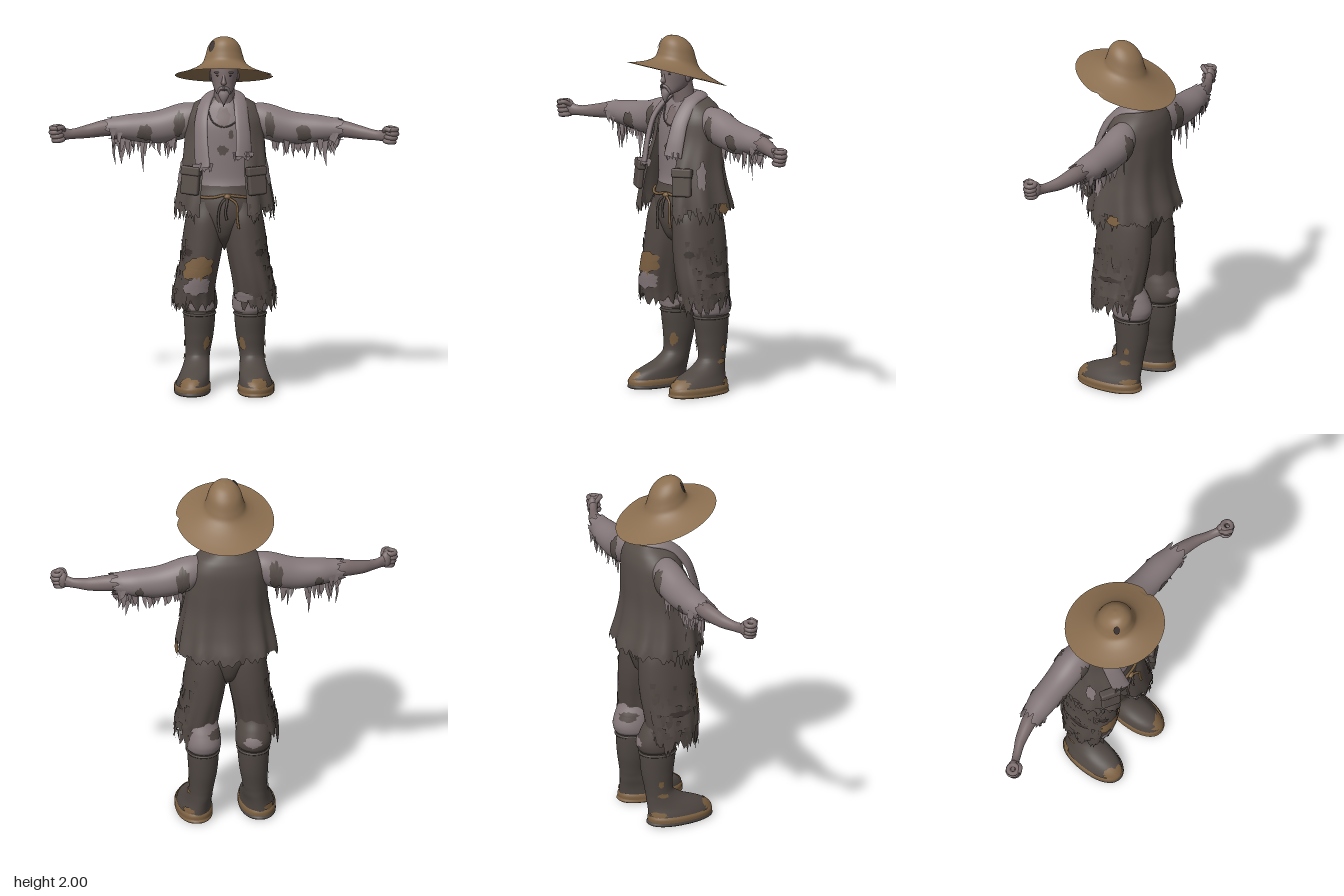
import * as THREE from 'three';
import { mergeVertices, mergeGeometries } from 'three/addons/utils/BufferGeometryUtils.js';
import { RoundedBoxGeometry } from 'three/addons/geometries/RoundedBoxGeometry.js';

const V = (x, y, z) => new THREE.Vector3(x, y, z);

export function createModel() {
  const root = new THREE.Group();
  let seed = 7;
  const rnd = () => (seed = (seed * 16807) % 2147483647) / 2147483647;
  const mat = (name, color) => {
    const m = new THREE.MeshStandardMaterial({ color, side: THREE.DoubleSide });
    m.name = name;
    return m;
  };
  const skin = mat('skin', 0x7b6c6d), linen = mat('linen', 0x85787a), vestCloth = mat('vest cloth', 0x574e49);
  const trouserCloth = mat('trouser cloth', 0x514843), rubber = mat('boot rubber', 0x4f4742);
  const straw = mat('straw', 0x8c6f50), mud = mat('mud', 0x7d6142), dark = mat('dark tear', 0x3a322f);

  const add = (name, geo, m, x = 0, y = 0, z = 0) => {
    const mesh = new THREE.Mesh(geo, m);
    mesh.name = name;
    mesh.position.set(x, y, z);
    root.add(mesh);
    return mesh;
  };
  const build = (pos, idx) => {
    const g = new THREE.BufferGeometry();
    g.setAttribute('position', new THREE.Float32BufferAttribute(pos, 3));
    g.setIndex(idx);
    g.computeVertexNormals();
    return g;
  };

  // Surface through elliptical rings [t, centre1, centre2, radius1, radius2] along y or x; u = 0 faces +z
  const surface = (rings, axis = 'y', sq = 1) => {
    const t0 = rings[0][0], t1 = rings[rings.length - 1][0], up = Math.sign(t1 - t0);
    const at = (u, t, grow = 0) => {
      let i = 0;
      while (i < rings.length - 2 && (t - rings[i + 1][0]) * up > 0) i++;
      const P = [i - 1, i, i + 1, i + 2].map(k => rings[Math.min(Math.max(k, 0), rings.length - 1)]);
      const f = Math.min(1, Math.max(0, (t - P[1][0]) / (P[2][0] - P[1][0])));
      const c = k => {
        const [a, b, d, e] = P.map(r => r[k]);
        return b + 0.5 * f * (d - a + f * (2 * a - 5 * b + 4 * d - e + f * (3 * (b - d) + e - a)));
      };
      const pw = v => Math.sign(v) * Math.abs(v) ** sq;
      const p = c(1) + (Math.max(0, c(3)) + grow) * pw(Math.sin(u * 2 * Math.PI));
      const q = c(2) + (Math.max(0, c(4)) + grow) * pw(Math.cos(u * 2 * Math.PI));
      return axis === 'y' ? V(p, t, q) : V(t, p, q);
    };
    return { at, t0, t1, axis, flip: (axis === 'y') !== (up > 0) };
  };
  // Mesh of a surface, with an optional open slit, folds growing downward and a torn last row
  const loft = (S, { u0 = 0, u1 = 1, seg = 40, rows = 24, jag = 0, lift = 0, fold = 0 } = {}) => {
    const closed = u1 - u0 >= 1, n = closed ? seg : seg + 1, pos = [], idx = [];
    for (let j = 0; j <= rows; j++) for (let i = 0; i < n; i++) {
      const u = u0 + (u1 - u0) * i / seg;
      const p = S.at(u, S.t0 + (S.t1 - S.t0) * j / rows, fold * (j / rows) ** 2 * Math.cos(u * 20 * Math.PI));
      if (j > rows - 4) p.y += lift * (1 - Math.cos(u * 2 * Math.PI)) / 2 * (j - rows + 4) / 4;
      if (j === rows) p[S.axis] += jag * (rnd() - 0.6) * Math.sign(S.t0 - S.t1);
      pos.push(p.x, p.y, p.z);
    }
    for (let j = 0; j < rows; j++) for (let i = 0; i < seg; i++) {
      const a = j * n + i, b = j * n + (i + 1) % n, c = a + n, d = b + n;
      S.flip ? idx.push(a, c, b, b, c, d) : idx.push(a, b, c, b, d, c);
    }
    return build(pos, idx);
  };
  // Thin irregular blot lying just above a surface
  const patch = (name, S, uc, tc, du, dt, m, grow = 0.006) => {
    const pos = [], idx = [], n = 24, rows = 5, wob = Array.from({ length: n }, () => 0.75 + 0.4 * rnd());
    for (let j = 0; j <= rows; j++) for (let i = 0; i < n; i++) {
      const a = i / n * 2 * Math.PI, r = j / rows * wob[i];
      pos.push(...S.at(uc + du * r * Math.cos(a), tc + dt * r * Math.sin(a), grow).toArray());
    }
    for (let j = 0; j < rows; j++) for (let i = 0; i < n; i++) {
      const a = j * n + i, b = j * n + (i + 1) % n;
      S.axis === 'y' ? idx.push(a, a + n, b, b, a + n, b + n) : idx.push(a, b, a + n, b, b + n, a + n);
    }
    add(name, build(pos, idx), m);
  };
  // Hanging torn strips scattered over part of a surface
  const shreds = (name, S, u0, u1, t0, t1, n, len, m) => {
    const pos = [], idx = [];
    for (let i = 0; i < n; i++) {
      const u = u0 + (u1 - u0) * rnd(), t = t0 + (t1 - t0) * rnd(), p = S.at(u, t, 0.004);
      const w = S.axis === 'y' ? S.at(u + 0.01, t).sub(S.at(u - 0.01, t)).normalize() : V(1, 0, rnd() - 0.5);
      w.multiplyScalar(0.01 + 0.012 * rnd());
      const l = len * (0.3 + 0.7 * rnd()), o = p.clone().setY(p.y + 0.015), k = pos.length / 3;
      const mid = p.clone().add(V(0.01 * (rnd() - 0.5), -l * 0.5, 0)), tip = mid.clone().add(V(0.02 * (rnd() - 0.5), -l * 0.5, 0));
      for (const q of [o.clone().sub(w), o.clone().add(w), mid.clone().addScaledVector(w, -0.6), mid.clone().addScaledVector(w, 0.5), tip])
        pos.push(q.x, q.y, q.z);
      idx.push(k, k + 2, k + 1, k + 1, k + 2, k + 3, k + 2, k + 4, k + 3);
    }
    add(name, build(pos, idx), m);
  };
  const tube = (name, pts, r, m, closed = false) =>
    add(name, new THREE.TubeGeometry(new THREE.CatmullRomCurve3(pts, closed), closed ? 64 : 20, r, 7, closed), m);
  const ball = (name, x, y, z, sx, sy, sz, m) => add(name, new THREE.SphereGeometry(1, 18, 12).scale(sx, sy, sz), m, x, y, z);

  // Straw hat: tilted back, small notch torn in the brim
  const prof = new THREE.SplineCurve([[0, 2], [0.05, 1.987], [0.086, 1.948], [0.104, 1.89], [0.12, 1.85], [0.16, 1.82],
    [0.22, 1.795], [0.272, 1.78]].map(p => new THREE.Vector2(...p))).getPoints(36);
  prof[0].x = 0;
  let hat = new THREE.LatheGeometry(prof, 72);
  hat.deleteAttribute('uv');
  hat.deleteAttribute('normal');
  hat = mergeVertices(hat);
  const hp = hat.attributes.position;
  for (let i = 0; i < hp.count; i++) {
    const x = hp.getX(i), z = hp.getZ(i), r = Math.hypot(x, z);
    const notch = r > 0.25 ? 1 - 0.07 * Math.exp(-(((Math.atan2(x, z) - 1.5) / 0.08) ** 2)) : 1;
    hp.setXYZ(i, x * notch, hp.getY(i) + z * 0.33, z * 1.03 * notch);
  }
  hat.computeVertexNormals();
  add('straw hat', hat, straw, 0, 0, 0.01);
  const hole = add('hat hole', new THREE.CircleGeometry(1, 16).scale(0.018, 0.032, 1), dark, -0.066, 1.957, 0.079);
  hole.lookAt(-0.17, 2.03, 0.2);

  // Head
  const headS = surface([[1.67, 0, 0.078, 0.012, 0.015], [1.688, 0, 0.065, 0.04, 0.046], [1.715, 0, 0.03, 0.057, 0.08],
    [1.75, 0, 0.01, 0.068, 0.098], [1.79, 0, 0.007, 0.075, 0.101], [1.83, 0, 0.014, 0.076, 0.092], [1.865, 0, 0.02, 0.068, 0.076], [1.9, 0, 0.02, 0, 0]]);
  add('head', loft(headS), skin);
  patch('back hair', headS, 0.5, 1.76, 0.13, 0.05, dark, 0.004);
  add('neck', loft(surface([[1.56, 0, -0.06, 0.085, 0.08], [1.62, 0, -0.045, 0.062, 0.064], [1.7, 0, -0.03, 0.056, 0.062], [1.76, 0, -0.02, 0.055, 0.06]])), skin);
  add('nose', loft(surface([[1.738, 0, 0.1, 0.004, 0.005], [1.75, 0, 0.106, 0.015, 0.022], [1.775, 0, 0.1, 0.01, 0.02], [1.81, 0, 0.092, 0.008, 0.012]]), { seg: 14, rows: 10 }), skin);
  ball('mouth', 0, 1.714, 0.106, 0.018, 0.003, 0.005, dark);
  add('beard', loft(surface([[1.71, 0, 0.085, 0.03, 0.026], [1.69, 0, 0.09, 0.032, 0.025], [1.665, 0, 0.095, 0.021, 0.018], [1.63, 0, 0.097, 0.004, 0.004]]), { seg: 18, rows: 12, jag: 0.02 }), linen);
  for (const s of [-1, 1]) {
    ball('eye', s * 0.031, 1.795, 0.094, 0.012, 0.005, 0.006, dark);
    ball('brow', s * 0.032, 1.813, 0.091, 0.023, 0.006, 0.012, skin).rotation.z = s * -0.12;
    ball('ear', s * 0.076, 1.775, -0.005, 0.008, 0.03, 0.018, skin);
    tube('moustache', [V(0, 1.729, 0.113), V(s * 0.02, 1.724, 0.106), V(s * 0.034, 1.695, 0.09)], 0.008, linen);
  }

  // Shirt body
  const shirtS = surface([[1.655, 0, -0.07, 0.075, 0.075], [1.6, 0, -0.075, 0.15, 0.105], [1.5, 0, -0.07, 0.195, 0.13],
    [1.35, 0, -0.065, 0.2, 0.13], [1.2, 0, -0.06, 0.19, 0.125], [1.13, 0, -0.06, 0.19, 0.142]]);
  add('shirt', loft(shirtS, { seg: 56, jag: 0.05 }), linen);
  patch('open collar', shirtS, 0, 1.55, 0.035, 0.06, skin);
  patch('shirt tear', shirtS, -0.005, 1.37, 0.025, 0.028, vestCloth);
  patch('shirt tear', shirtS, 0.03, 1.46, 0.012, 0.025, vestCloth);
  tube('cord necklace', [-2, -1, 0, 1, 2].map(k => shirtS.at(k * 0.05, 1.5 + k * k * 0.024, 0.006)), 0.004, vestCloth);

  // Vest with open front, folds, torn hem, side gaps and pockets
  const vestS = surface([[1.655, 0, -0.08, 0.085, 0.085], [1.61, 0, -0.085, 0.165, 0.115], [1.54, 0, -0.08, 0.212, 0.142], [1.42, 0, -0.07, 0.222, 0.155],
    [1.28, 0, -0.045, 0.235, 0.18], [1.15, 0, -0.04, 0.258, 0.205], [1.03, 0, -0.048, 0.275, 0.228]], 'y', 0.85);
  add('vest', loft(vestS, { u0: 0.07, u1: 0.93, seg: 110, rows: 26, jag: 0.045, fold: 0.012 }), vestCloth);
  shreds('vest fringe', vestS, 0.08, 0.27, 1.02, 1.07, 18, 0.09, vestCloth);
  shreds('vest fringe', vestS, 0.73, 0.92, 1.02, 1.07, 18, 0.09, vestCloth);
  patch('mud stain', vestS, 0.27, 1.055, 0.022, 0.03, mud, 0.015);
  for (const s of [-1, 1]) {
    patch('vest side gap', vestS, s * 0.195, 1.245, 0.025, 0.075, linen, 0.012);
    const pocket = new THREE.Group();
    pocket.name = 'pocket';
    const bag = new THREE.Mesh(new RoundedBoxGeometry(0.11, 0.155, 0.036, 2, 0.012), vestCloth);
    bag.name = 'pocket bag';
    const flap = new THREE.Mesh(new RoundedBoxGeometry(0.116, 0.05, 0.046, 2, 0.01), vestCloth);
    flap.name = 'pocket flap';
    flap.position.y = 0.055;
    pocket.add(bag, flap);
    pocket.position.set(s * 0.183, 1.21, 0.13);
    pocket.rotation.set(-0.12, s * 0.5, s * 0.08);
    root.add(pocket);
  }

  // Towel draped round the neck: flat section swept along a curve
  const path = new THREE.CatmullRomCurve3([V(-0.115, 1.285, 0.15), V(-0.125, 1.42, 0.115), V(-0.125, 1.54, 0.068), V(-0.1, 1.635, -0.02), V(-0.062, 1.66, -0.11),
    V(0, 1.655, -0.145), V(0.062, 1.66, -0.11), V(0.085, 1.635, -0.02), V(0.1, 1.54, 0.068), V(0.11, 1.44, 0.11), V(0.11, 1.345, 0.135)]);
  const tp = [], ti = [], tn = 14, tr = 60;
  for (let j = 0; j <= tr; j++) {
    const p = path.getPoint(j / tr), T = path.getTangent(j / tr), N = p.clone().sub(V(0, 1.42, -0.06)).normalize();
    const W = T.clone().cross(N).normalize(), half = 0.034 + 0.018 * Math.abs(j / tr - 0.5) * 2;
    N.crossVectors(W, T);
    for (let i = 0; i < tn; i++) {
      const a = i / tn * 2 * Math.PI;
      tp.push(...p.clone().addScaledVector(W, half * Math.cos(a)).addScaledVector(N, 0.016 * Math.sin(a)).toArray());
    }
    if (j < tr) for (let i = 0; i < tn; i++) {
      const a = j * tn + i, b = j * tn + (i + 1) % tn;
      ti.push(a, b, a + tn, b, b + tn, a + tn);
    }
  }
  add('towel', build(tp, ti), linen);
  for (const [x, y, z] of [[-0.115, 1.29, 0.15], [0.11, 1.35, 0.135]])
    shreds('towel fringe', surface([[y + 0.02, x, z, 0.042, 0.006], [y - 0.02, x, z, 0.042, 0.006]]), 0, 1, y, y + 0.01, 9, 0.04, linen);

  // Trouser seat and rope belt
  const seatS = surface([[1.17, 0, -0.05, 0.18, 0.13], [1.08, 0, -0.05, 0.2, 0.153], [1.0, 0, -0.05, 0.185, 0.158], [0.93, 0, -0.05, 0.12, 0.146], [0.86, 0, -0.05, 0.06, 0.11], [0.785, 0, -0.05, 0, 0]]);
  add('trouser seat', loft(seatS), trouserCloth);
  tube('rope belt', Array.from({ length: 24 }, (_, i) => seatS.at(i / 24, 1.115 + 0.008 * Math.cos(i), 0.008)), 0.008, mud, true);
  for (const [x, y, m] of [[-0.03, 0.92, trouserCloth], [0.01, 0.99, trouserCloth], [0.075, 0.94, mud]])
    tube('rope end', [V(0.02, 1.115, 0.11), V(x * 0.8 + 0.01, 1.08, 0.125), V(x, (1.07 + y) / 2, 0.128), V(x + 0.008, y, 0.13)], 0.007, m);
  ball('rope knot', 0.02, 1.115, 0.11, 0.02, 0.015, 0.014, mud);

  for (const s of [-1, 1]) {
    const Y = (rings, sq) => surface(rings.map(([t, x, ...r]) => [t, s * x, ...r]), 'y', sq);
    const X = rings => surface(rings.map(([t, ...r]) => [s * t, ...r]), 'x');
    const out = s > 0 ? 0.25 : 0.75;

    // Arm: ragged sleeve, bare forearm, fist curled round a vertical grip
    const sleeveS = X([[0.13, 1.535, -0.085, 0.07, 0.07], [0.23, 1.505, -0.092, 0.1, 0.088], [0.38, 1.47, -0.09, 0.09, 0.082], [0.53, 1.468, -0.085, 0.073, 0.076], [0.63, 1.467, -0.075, 0.06, 0.06]]);
    add('sleeve', loft(sleeveS, { jag: 0.06 }), linen);
    shreds('sleeve fringe', sleeveS, 0.62, 0.88, s * 0.27, s * 0.63, 24, 0.11, linen);
    shreds('long sleeve fringe', sleeveS, 0.7, 0.8, s * 0.45, s * 0.62, 5, 0.17, linen);
    shreds('cuff fringe', sleeveS, 0.5, 1, s * 0.57, s * 0.63, 14, 0.06, linen);
    patch('sleeve tear', sleeveS, 0.97, s * 0.44, 0.09, 0.045, vestCloth);
    patch('armhole tear', sleeveS, 0, s * 0.25, 0.12, 0.03, vestCloth);
    patch('armhole tear', sleeveS, 0.5, s * 0.26, 0.14, 0.04, vestCloth);
    patch('sleeve tear', sleeveS, 0.55, s * 0.5, 0.06, 0.025, vestCloth);
    add('forearm', loft(X([[0.5, 1.475, -0.085, 0.045, 0.045], [0.66, 1.468, -0.067, 0.046, 0.042], [0.77, 1.452, -0.035, 0.036, 0.032], [0.85, 1.446, 0.005, 0.028, 0.026], [0.9, 1.452, 0.03, 0.038, 0.026]])), skin);
    ball('palm', s * 0.902, 1.455, 0.028, 0.03, 0.048, 0.028, skin);
    const fingers = [0, 1, 2, 3].map(i => new THREE.TorusGeometry(0.026, 0.0135, 8, 18).rotateX(Math.PI / 2).translate(s * (0.004 - 0.005 * Math.abs(i - 2)), 0.0235 * (i - 1.5), 0));
    add('fingers', mergeGeometries(fingers), skin, s * 0.925, 1.455, 0.047).rotation.z = s * -0.12;
    tube('thumb', [V(s * 0.885, 1.475, 0.035), V(s * 0.895, 1.495, 0.07), V(s * 0.925, 1.488, 0.088)], 0.0135, skin);

    // Trouser leg, torn at the hem and along the outside
    const legS = Y([[1.08, 0.095, -0.05, 0.095, 0.13], [0.98, 0.105, -0.05, 0.108, 0.155], [0.86, 0.117, -0.05, 0.115, 0.162], [0.75, 0.132, -0.047, 0.112, 0.162],
      [0.65, 0.153, -0.042, 0.113, 0.156], [0.56, 0.168, -0.042, 0.116, 0.146], [0.51, 0.17, -0.046, 0.116, 0.14]], 0.9);
    add('trouser leg', loft(legS, { seg: 56, jag: 0.07, lift: s > 0 ? 0.06 : 0.01, fold: 0.005 }), trouserCloth);
    shreds('trouser fringe', legS, out - 0.16, out + 0.16, 0.52, 0.88, 40, 0.1, trouserCloth);
    shreds('hem fringe', legS, out - 0.28, out + 0.2, 0.52, 0.57, 20, 0.1, trouserCloth);
    patch('trouser tear', legS, s * 0.1, 0.8, 0.04, 0.02, dark);
    patch('trouser tear', legS, out, 0.68, 0.07, 0.015, dark);

    // Rolled under cuff; the right one is mostly covered by dark rags
    const cuffS = Y([[0.62, 0.15, -0.08, 0.088, 0.11], [0.55, 0.145, -0.105, 0.096, 0.114], [0.49, 0.141, -0.12, 0.1, 0.117], [0.45, 0.14, -0.12, 0.096, 0.11], [0.435, 0.14, -0.118, 0.082, 0.1]]);
    add('under cuff', loft(cuffS), s > 0 ? linen : trouserCloth);
    if (s < 0) {
      patch('cuff linen', cuffS, 0.03, 0.475, 0.13, 0.03, linen, 0.004);
      patch('cuff linen', cuffS, 0.47, 0.5, 0.08, 0.03, linen, 0.004);
      patch('knee hole', legS, 0.02, 0.61, 0.1, 0.05, linen, 0.008);
      patch('knee patch', legS, 0, 0.71, 0.11, 0.066, mud, 0.008);
    } else {
      patch('shin hole', legS, -0.09, 0.55, 0.08, 0.03, linen, 0.009);
      patch('cuff rag', cuffS, 0.62, 0.55, 0.09, 0.03, trouserCloth, 0.004);
    }

    // Rubber boot with muddy welt
    const bootS = Y([[0.445, 0.14, -0.117, 0.086, 0.102], [0.41, 0.14, -0.117, 0.087, 0.103], [0.3, 0.142, -0.12, 0.079, 0.092], [0.19, 0.15, -0.112, 0.068, 0.082], [0.14, 0.156, -0.075, 0.073, 0.115],
      [0.1, 0.164, -0.022, 0.082, 0.165], [0.06, 0.172, 0, 0.092, 0.186], [0.03, 0.175, 0.002, 0.095, 0.188]]);
    add('boot', loft(bootS, { rows: 36 }), rubber);
    add('boot rim', new THREE.TorusGeometry(0.087, 0.007, 8, 32).rotateX(Math.PI / 2).scale(1, 1, 1.18), rubber, s * 0.14, 0.425, -0.117);
    add('muddy welt', loft(Y([[0.055, 0.175, 0.003, 0.094, 0.186], [0.045, 0.176, 0.003, 0.101, 0.192], [0.024, 0.176, 0.003, 0.101, 0.192]], 0.9), { rows: 4 }), mud);
    add('boot sole', loft(Y([[0.026, 0.176, 0.003, 0.1, 0.191], [0.0, 0.176, 0, 0.092, 0.18], [-0.0001, 0.176, 0, 0, 0]], 0.9), { rows: 8 }), s > 0 ? mud : rubber);
    patch('shaft mud', bootS, -s * 0.1, 0.265, 0.05, 0.035, mud);
    patch('ankle mud', bootS, s * 0.28, 0.18, 0.06, 0.014, mud);
    patch('shaft mud', bootS, s * 0.28, 0.25, 0.03, 0.02, mud);
    patch('toe mud', bootS, s * 0.04, 0.075, 0.1, 0.025, mud);
    patch('heel mud', bootS, s * 0.4, 0.07, 0.06, 0.016, mud);
  }
  return root;
}
